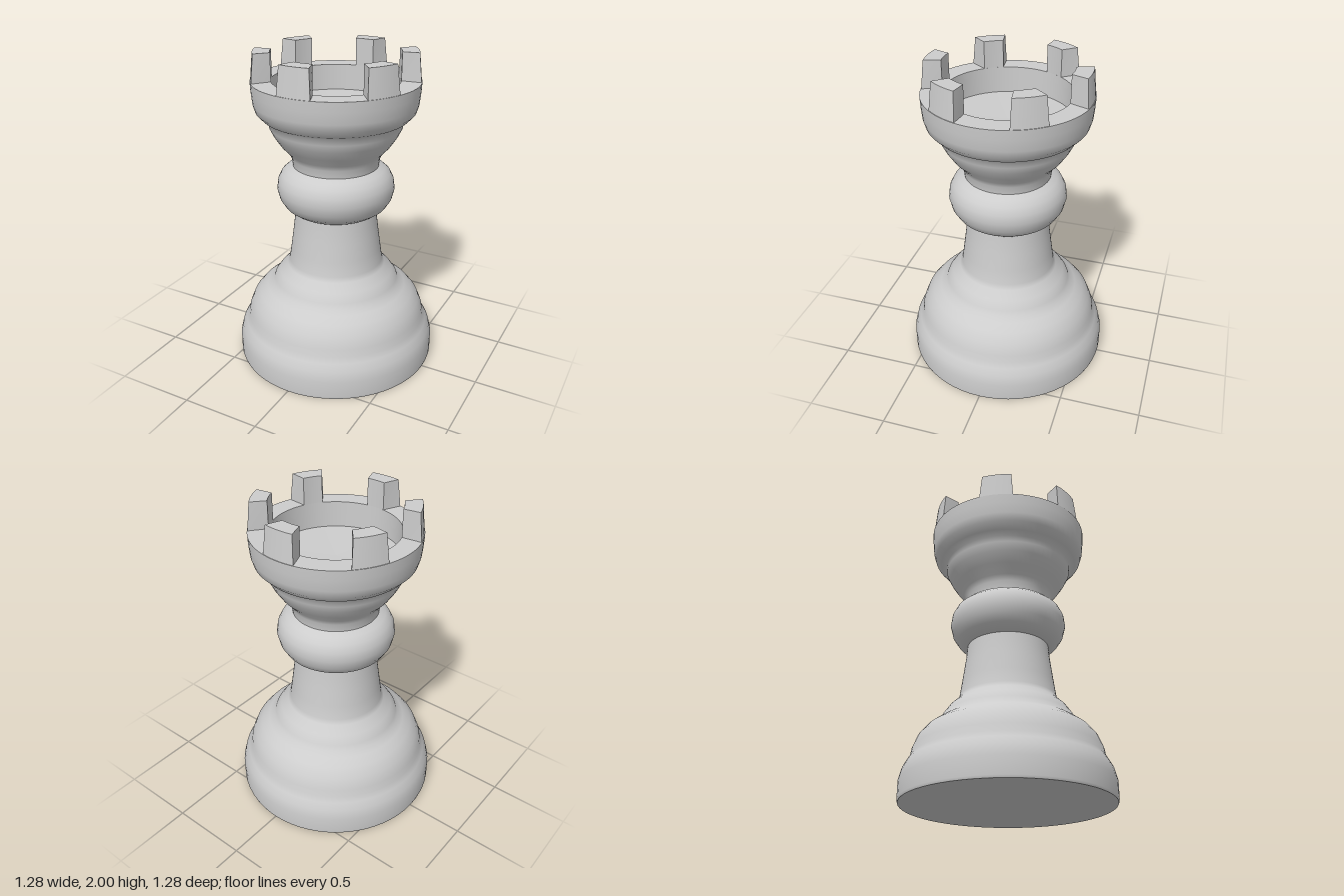
import * as THREE from 'three';

const stone = new THREE.MeshStandardMaterial({ color: 0xcccccc });
stone.name = 'pale grey';

const RIM_Y = 1.83, RIM_IN = 0.385, RIM_OUT = 0.508;

// Turned section: [radius, height] pairs ordered along the outside surface
function turned(name, points) {
  const profile = points.map(([r, y]) => new THREE.Vector2(r, y));
  const mesh = new THREE.Mesh(new THREE.LatheGeometry(profile, 64), stone);
  mesh.name = name;
  return mesh;
}

// Battlement block: a box bent around the rim, narrowing inward and upward
function merlon(angle) {
  const geo = new THREE.BoxGeometry(1, 1, 1, 6, 1, 1);
  const pos = geo.attributes.position;
  for (let i = 0; i < pos.count; i++) {
    const top = pos.getY(i) > 0, outer = pos.getZ(i) > 0;
    const r = outer ? (top ? 0.487 : 0.505) : RIM_IN;
    const halfWidth = outer ? (top ? 0.195 : 0.215) : 0.155;
    const a = angle + pos.getX(i) * 2 * halfWidth;
    pos.setXYZ(i, r * Math.sin(a), top ? 2 : RIM_Y - 0.01, r * Math.cos(a));
  }
  geo.computeVertexNormals();
  const mesh = new THREE.Mesh(geo, stone);
  mesh.name = 'merlon';
  return mesh;
}

export function createModel() {
  const model = new THREE.Group();
  model.name = 'rook';

  model.add(
    turned('underside', [[0, 0], [0.636, 0]]),
    // Stepped foot
    turned('foot', [
      [0.636, 0], [0.641, 0.015], [0.641, 0.12], [0.625, 0.185], [0.6, 0.23], [0.58, 0.265],
      [0.573, 0.31], [0.545, 0.38], [0.5, 0.435], [0.45, 0.472], [0.412, 0.497],
      [0.4, 0.53], [0.365, 0.58], [0.315, 0.628], [0.3, 0.66],
      [0.287, 0.75], [0.272, 0.86], [0.263, 0.93], [0.257, 1.0],
    ]),
    // Rounded collar
    turned('collar', [
      [0.25, 0.998], [0.28, 1.01], [0.32, 1.04], [0.352, 1.09], [0.367, 1.15],
      [0.36, 1.205], [0.338, 1.25], [0.305, 1.28], [0.266, 1.3],
    ]),
    // Cup and crown wall
    turned('head', [
      [0.266, 1.3], [0.272, 1.35], [0.29, 1.385], [0.34, 1.44], [0.38, 1.5], [0.405, 1.55],
      [0.408, 1.59], [0.445, 1.61], [0.483, 1.65], [0.498, 1.7], [0.505, 1.77], [RIM_OUT, RIM_Y],
    ]),
    turned('rim', [[RIM_OUT, RIM_Y], [RIM_IN, RIM_Y]]),
    turned('wellWall', [[RIM_IN, RIM_Y], [0.38, 1.67]]),
    turned('wellFloor', [[0.38, 1.67], [0, 1.66]]),
  );

  // Six evenly spaced battlements
  const battlements = new THREE.Group();
  battlements.name = 'battlements';
  for (let i = 0; i < 6; i++) battlements.add(merlon((i * Math.PI) / 3));
  model.add(battlements);

  return model;
}
